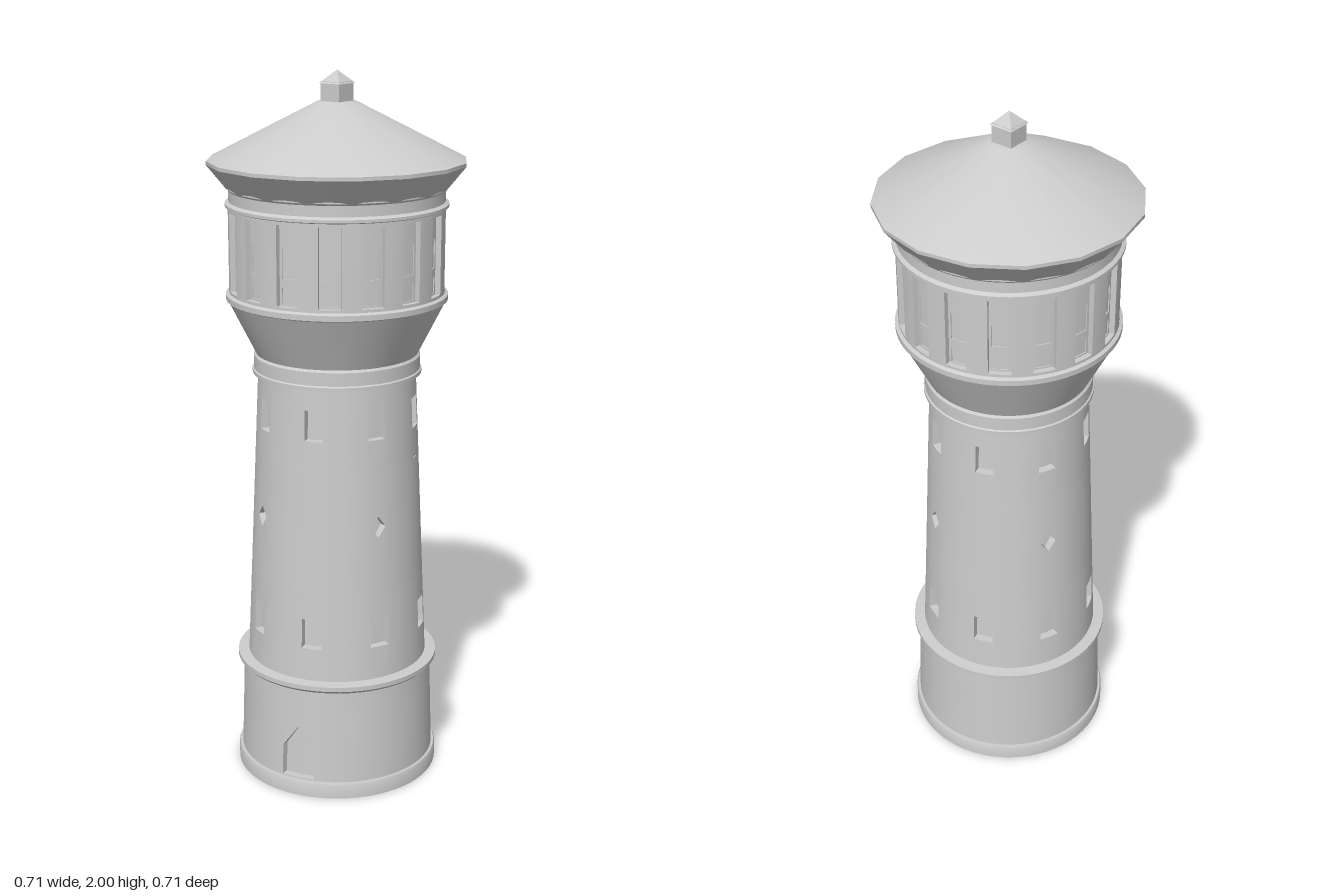
import * as THREE from 'three';
import { toCreasedNormals } from 'three/addons/utils/BufferGeometryUtils.js';

const RAD = Math.PI / 180;

// Surface of revolution from [radius, height] pairs, listed bottom to top
function turned(profile, segments = 64) {
  const points = profile.map(([r, y]) => new THREE.Vector2(r, y));
  return toCreasedNormals(new THREE.LatheGeometry(points, segments), 0.5);
}

// Openings: three columns of bottom and top heights, centred on an angle
const rect = (angle, width, y0, y1) => ({ angle, width, low: [y0, y0, y0], high: [y1, y1, y1] });
const diamond = (angle, width, y, h) => ({ angle, width, low: [y, y - h, y], high: [y, y + h, y] });
const pointedDoor = (angle, width, y0, spring, tip) =>
  ({ angle, width, low: [y0, y0, y0], high: [spring, tip, spring] });
const around = (count, start, make) =>
  Array.from({ length: count }, (_, i) => make(start + (i * 360) / count));

// Round wall band from y0 to y1 with recessed openings
function wallBand(radiusAt, y0, y1, openings, depth) {
  const positions = [];
  const point = (a, y, inset = 0) => {
    const r = radiusAt(y) - inset;
    return new THREE.Vector3(r * Math.sin(a * RAD), y, r * Math.cos(a * RAD));
  };
  const tri = (a, b, c) => {
    const area = b.clone().sub(a).cross(c.clone().sub(a)).length();
    if (area > 1e-9) for (const p of [a, b, c]) positions.push(p.x, p.y, p.z);
  };
  const quad = (a, b, c, d) => { tri(a, b, c); tri(a, c, d); };
  const panel = (a0, a1, low0, low1, high0, high1, inset = 0) =>
    quad(point(a0, low0, inset), point(a1, low1, inset), point(a1, high1, inset), point(a0, high0, inset));
  const reveal = (a0, h0, a1, h1) =>
    quad(point(a0, h0), point(a1, h1), point(a1, h1, depth), point(a0, h0, depth));

  openings.forEach((o, i) => {
    const angles = [o.angle - o.width / 2, o.angle, o.angle + o.width / 2];
    for (let k = 0; k < 2; k++) {
      const a0 = angles[k], a1 = angles[k + 1];
      const l0 = o.low[k], l1 = o.low[k + 1], h0 = o.high[k], h1 = o.high[k + 1];
      panel(a0, a1, y0, y0, l0, l1);
      panel(a0, a1, h0, h1, y1, y1);
      panel(a0, a1, l0, l1, h0, h1, depth);
      reveal(a0, l0, a1, l1);
      reveal(a1, h1, a0, h0);
    }
    reveal(angles[0], o.high[0], angles[0], o.low[0]);
    reveal(angles[2], o.low[2], angles[2], o.high[2]);

    // Plain wall up to the next opening
    const next = openings[(i + 1) % openings.length];
    const end = next.angle - next.width / 2 + (i === openings.length - 1 ? 360 : 0);
    const steps = Math.ceil((end - angles[2]) / 5.7);
    const step = (end - angles[2]) / steps;
    for (let s = 0; s < steps; s++) {
      const a = angles[2] + s * step;
      panel(a, a + step, y0, y0, y1, y1);
    }
  });

  const geometry = new THREE.BufferGeometry();
  geometry.setAttribute('position', new THREE.Float32BufferAttribute(positions, 3));
  return toCreasedNormals(geometry, 0.5);
}

export function createModel() {
  const model = new THREE.Group();
  model.name = 'waterTower';
  const stone = new THREE.MeshStandardMaterial({ color: 0xcccccc });
  stone.name = 'stone';
  const add = (name, geometry) => {
    const mesh = new THREE.Mesh(geometry, stone);
    mesh.name = name;
    model.add(mesh);
    return mesh;
  };

  const baseRadius = (y) => THREE.MathUtils.mapLinear(y, 0.045, 0.32, 0.28, 0.271);
  const shaftRadius = (y) => THREE.MathUtils.mapLinear(y, 0.345, 1.18, 0.257, 0.22);

  // Base with its plinth, pointed door and cornice
  add('plinth', turned([[0, 0], [0.29, 0], [0.29, 0.04], [0.287, 0.046], [0.27, 0.046]]));
  add('baseWall', wallBand(baseRadius, 0.045, 0.24, [pointedDoor(-76, 20, 0.05, 0.14, 0.205)], 0.02));
  add('baseUpperWall', turned([[baseRadius(0.24), 0.24], [0.271, 0.32]]));
  add('baseCornice', turned([[0.268, 0.318], [0.28, 0.322], [0.288, 0.33], [0.288, 0.343], [0.25, 0.347]]));

  // Tapering shaft: two rows of windows and a row of diamonds between them
  const start = -24;
  add('shaftLowerWindows', wallBand(shaftRadius, 0.34, 0.6,
    around(8, start, (a) => rect(a, 13, 0.44, 0.525)), 0.022));
  add('shaftDiamonds', wallBand(shaftRadius, 0.6, 0.95,
    around(4, start, (a) => diamond(a, 11, 0.788, 0.03)), 0.022));
  add('shaftUpperWindows', wallBand(shaftRadius, 0.95, 1.185,
    around(8, start, (a) => rect(a, 13, 1.035, 1.12)), 0.022));

  // Collar and flared underside of the gallery
  add('collar', turned([[0.215, 1.175], [0.235, 1.18], [0.235, 1.19], [0.231, 1.193],
    [0.231, 1.23], [0.225, 1.237]]));
  add('flare', turned([[0.225, 1.235], [0.3, 1.385]]));
  add('gallerySill', turned([[0.298, 1.383], [0.305, 1.387], [0.305, 1.402], [0.29, 1.41]]));

  // Gallery: deep niches with an upper and a lower pane sunk in each
  add('galleryWall', wallBand(() => 0.296, 1.405, 1.642,
    around(16, 11.25, (a) => rect(a, 11.6, 1.415, 1.63)), 0.018));
  // Niche backs sit just in front of the plain recess faces
  const nicheRadius = () => 0.281;
  add('lowerPanes', wallBand(nicheRadius, 1.41, 1.475,
    around(16, 11.25, (a) => rect(a, 8.6, 1.42, 1.463)), 0.01));
  add('upperPanes', wallBand(nicheRadius, 1.475, 1.64,
    around(16, 11.25, (a) => rect(a, 8.6, 1.488, 1.567)), 0.01));
  add('galleryCornice', turned([[0.294, 1.638], [0.304, 1.642], [0.304, 1.65], [0.294, 1.656],
    [0.294, 1.685], [0.298, 1.69], [0.298, 1.697], [0.28, 1.7]]));

  // Sixteen-sided roof with sloping eaves
  add('roof', turned([[0.27, 1.69], [0.3, 1.69], [0.353, 1.755], [0.353, 1.765],
    [0.053, 1.918], [0, 1.92]], 16));

  // Finial: square post with a pyramid cap
  add('finialPost', new THREE.BoxGeometry(0.062, 0.06, 0.062)).position.y = 1.94;
  const cap = new THREE.ConeGeometry(0.035 * Math.SQRT2, 0.035, 4);
  cap.rotateY(Math.PI / 4);
  add('finialCap', toCreasedNormals(cap, 0.2)).position.y = 1.9825;

  return model;
}
